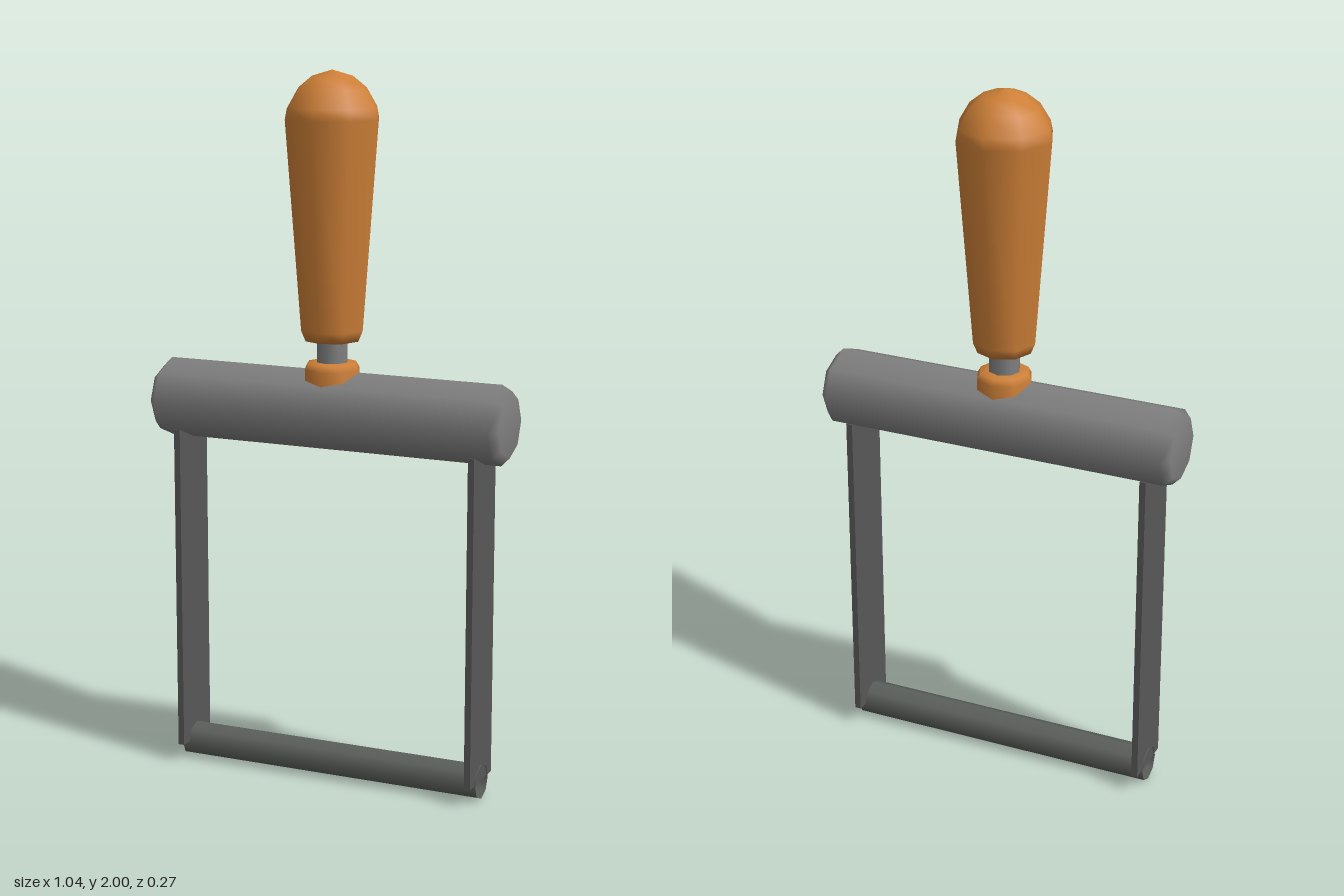
import * as THREE from 'three';

const mat = (name, color) => {
  const m = new THREE.MeshStandardMaterial({ color });
  m.name = name;
  return m;
};

export function createModel() {
  const wood = mat('orange wood', 0xcd7f37);
  const steel = mat('grey steel', 0x808080);
  const darkSteel = mat('dark strap steel', 0x585858);
  const rodSteel = mat('rod steel', 0x5c605c);
  rodSteel.side = THREE.DoubleSide; // the rod is an open tube

  const group = new THREE.Group();
  group.name = 'handTool';
  const add = (name, geometry, material, x = 0, y = 0, z = 0) => {
    const mesh = new THREE.Mesh(geometry, material);
    mesh.name = name;
    mesh.position.set(x, y, z);
    group.add(mesh);
    return mesh;
  };
  // Eight-sided turned part; profile runs from bottom to top
  const turned = (profile) =>
    new THREE.LatheGeometry(profile.map(([r, y]) => new THREE.Vector2(r, y)), 8);

  // Tapered grip with a domed end
  add('grip', turned([
    [0, 1.263], [0.078, 1.265], [0.091, 1.295], [0.136, 1.87],
    [0.13, 1.9], [0.1, 1.95], [0.06, 1.982], [0, 2],
  ]), wood);

  // Stem and the collar seated on the crossbar
  add('stem', new THREE.CylinderGeometry(0.045, 0.045, 0.18, 8, 1, true), steel, 0, 1.2);
  add('collar', turned([
    [0.08, 1.12], [0.08, 1.185], [0.07, 1.202], [0.04, 1.205], [0, 1.205],
  ]), wood);

  // Crossbar with bevelled ends
  const bar = turned([
    [0, -0.522], [0.088, -0.522], [0.112, -0.498],
    [0.112, 0.498], [0.088, 0.522], [0, 0.522],
  ]);
  bar.rotateZ(Math.PI / 2);
  add('crossbar', bar, steel, 0, 1.067);

  // Flat straps on both sides
  for (const side of [-1, 1]) {
    add(side > 0 ? 'leftStrap' : 'rightStrap',
      new THREE.BoxGeometry(0.018, 0.935, 0.166), darkSteel, side * 0.443, 0.52);
  }

  // Open lower rod
  const rod = new THREE.CylinderGeometry(0.05, 0.05, 0.91, 8, 1, true);
  rod.rotateZ(Math.PI / 2);
  add('lowerRod', rod, rodSteel, 0, 0.05);

  return group;
}
